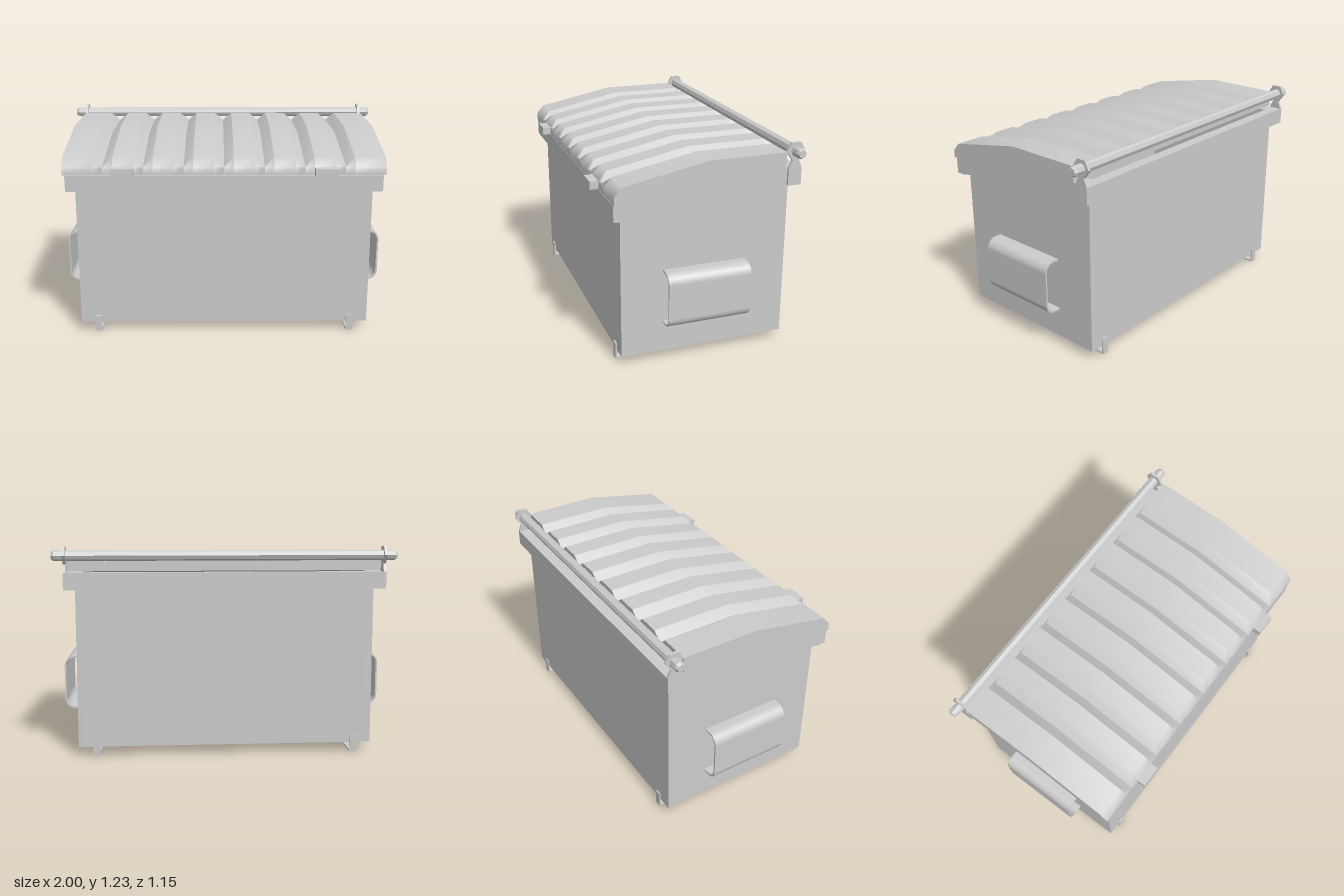
import * as THREE from 'three';

const mat = new THREE.MeshStandardMaterial({ color: 0xcccccc });
const thin = new THREE.MeshStandardMaterial({ color: 0xcccccc, side: THREE.DoubleSide });

const shapeOf = (pts) => new THREE.Shape(pts.map(([a, b]) => new THREE.Vector2(a, b)));

// Side profile given as [z, y], extruded from x0 to x1
function sideExtrude(pts, x0, x1) {
  const g = new THREE.ExtrudeGeometry(shapeOf(pts), { depth: x1 - x0, bevelEnabled: false });
  return g.rotateY(-Math.PI / 2).translate(x1, 0, 0);
}

// Smooth strip between two [z, y] profiles lying at xa and xb
function strip(xa, pa, xb, pb) {
  const pos = [], idx = [];
  pa.forEach(([z, y], i) => {
    pos.push(xa, y, z, xb, pb[i][1], pb[i][0]);
    if (i) {
      const k = 2 * i;
      idx.push(k - 2, k, k - 1, k - 1, k, k + 1);
    }
  });
  const g = new THREE.BufferGeometry();
  g.setAttribute('position', new THREE.Float32BufferAttribute(pos, 3));
  g.setIndex(idx);
  g.computeVertexNormals();
  return g;
}

function add(parent, name, geometry, material = mat) {
  const m = new THREE.Mesh(geometry, material);
  m.name = name;
  parent.add(m);
  return m;
}

function box(parent, name, x0, x1, y0, y1, z0, z1) {
  const g = new THREE.BoxGeometry(x1 - x0, y1 - y0, z1 - z0);
  g.translate((x0 + x1) / 2, (y0 + y1) / 2, (z0 + z1) / 2);
  return add(parent, name, g);
}

// Extrude a profile on both sides of the model
function pair(parent, name, pts, x0, x1) {
  add(parent, name + 'Left', sideExtrude(pts, x0, x1));
  add(parent, name + 'Right', sideExtrude(pts, -x1, -x0));
}

function makeBody() {
  const body = new THREE.Group();
  body.name = 'body';
  pair(body, 'sideWall', [[-0.51, 0.055], [0.475, 0.055], [0.475, 0.95], [0, 1.05], [-0.51, 1.05]], 0.84, 0.87);
  box(body, 'frontWall', -0.84, 0.84, 0.055, 0.95, 0.45, 0.475);
  box(body, 'backWall', -0.84, 0.84, 0.055, 1.05, -0.51, -0.485);
  box(body, 'floor', -0.84, 0.84, 0.055, 0.08, -0.485, 0.45);
  return body;
}

function makeRim() {
  const rim = new THREE.Group();
  rim.name = 'rim';
  pair(rim, 'rimSide', [
    [0.525, 0.89], [0.525, 0.985], [0, 1.083], [-0.555, 1.083],
    [-0.555, 0.985], [0, 0.985], [0.475, 0.89],
  ], 0.83, 0.92);
  add(rim, 'rimFront', sideExtrude([[0.525, 0.89], [0.525, 0.985], [0.45, 0.999], [0.45, 0.89]], -0.83, 0.83));
  box(rim, 'rimBack', -0.83, 0.83, 0.985, 1.083, -0.555, -0.49);
  return rim;
}

function makeLid() {
  const lid = new THREE.Group();
  lid.name = 'lid';
  const ridge = [[-0.46, 1.18], [0, 1.18], [0.48, 1.085], [0.525, 1.035], [0.525, 0.988]];
  const valley = [[-0.46, 1.135], [0, 1.135], [0.522, 1.038], [0.525, 1.035], [0.525, 0.988]];
  const under = [[0.525, 0.988], [0, 1.087], [-0.46, 1.087]];
  const W = 0.935;

  // Columns across the lid: flat panels with seven V grooves
  const cols = [[-W, ridge]];
  for (let i = -3; i <= 3; i++) {
    const c = i * 0.2335;
    cols.push([c - 0.055, ridge], [c, valley], [c + 0.055, ridge]);
  }
  cols.push([W, ridge]);
  for (let i = 1; i < cols.length; i++) {
    add(lid, 'lidPanel', strip(...cols[i - 1], ...cols[i]));
  }
  add(lid, 'lidUnderside', strip(-W, under, W, under), thin);

  // Ends and notched back edge
  const outline = [...ridge, ...under.slice(1)];
  for (const s of [-1, 1]) {
    const g = new THREE.ShapeGeometry(shapeOf(outline)).rotateY(-Math.PI / 2).translate(s * W, 0, 0);
    add(lid, 'lidEnd', g, thin);
  }
  const back = [[-W, 1.087], ...cols.map(([x, p]) => [x, p[0][1]]), [W, 1.087]];
  add(lid, 'lidBack', new THREE.ShapeGeometry(shapeOf(back)).translate(0, 0, -0.46), thin);

  // Lifting tabs
  for (const s of [-1, 1]) {
    box(lid, 'liftTab', s * 0.585 - 0.063, s * 0.585 + 0.063, 0.988, 1.034, 0.49, 0.575);
  }
  return lid;
}

function makeHinge() {
  const hinge = new THREE.Group();
  hinge.name = 'hinge';
  pair(hinge, 'hingeBracket', [
    [-0.475, 0.985], [-0.475, 1.083], [-0.497, 1.13], [-0.46, 1.18], [-0.488, 1.23],
    [-0.544, 1.23], [-0.571, 1.18], [-0.535, 1.13], [-0.555, 1.083], [-0.555, 0.985],
  ], 0.917, 0.933);

  // Eight-sided bar with chamfered tips
  const prof = [[0, -1], [0.022, -1], [0.031, -0.985], [0.031, 0.985], [0.022, 1], [0, 1]];
  const bar = new THREE.LatheGeometry(prof.map(([r, y]) => new THREE.Vector2(r, y)), 8).toNonIndexed();
  bar.computeVertexNormals();
  bar.rotateZ(Math.PI / 2).translate(0, 1.18, -0.518);
  add(hinge, 'hingeBar', bar);
  return hinge;
}

// Open fork sleeve: a thin rounded band bent out from the side wall
function sleeveGeometry() {
  const bend = (x, y0, y1, r, s) => {
    s.lineTo(x - r, y0);
    s.absarc(x - r, y0 + r, r, -Math.PI / 2, 0, false);
    s.lineTo(x, y1 - r);
    s.absarc(x - r, y1 - r, r, 0, Math.PI / 2, false);
    s.lineTo(0.865, y1);
  };
  const outer = new THREE.Shape();
  outer.moveTo(0.865, 0.233);
  bend(0.97, 0.233, 0.557, 0.06, outer);
  const inner = new THREE.Shape();
  inner.moveTo(0.865, 0.243);
  bend(0.96, 0.243, 0.547, 0.05, inner);
  const band = new THREE.Shape([...outer.getPoints(8), ...inner.getPoints(8).reverse()]);
  const g = new THREE.ExtrudeGeometry(band, { depth: 0.49, bevelEnabled: false });
  return g.translate(0, 0, -0.26);
}

export function createModel() {
  const model = new THREE.Group();
  model.name = 'dumpster';
  model.add(makeBody(), makeRim(), makeLid(), makeHinge());

  add(model, 'forkSleeveLeft', sleeveGeometry());
  // Half turn about y, then recentred along z
  add(model, 'forkSleeveRight', sleeveGeometry().rotateY(Math.PI).translate(0, 0, -0.03));

  // U-shaped skids wrapping under the body
  pair(model, 'skid', [
    [0.485, 0], [0.485, 0.097], [0.475, 0.097], [0.475, 0.01],
    [-0.508, 0.01], [-0.508, 0.097], [-0.518, 0.097], [-0.518, 0],
  ], 0.745, 0.785);
  return model;
}
